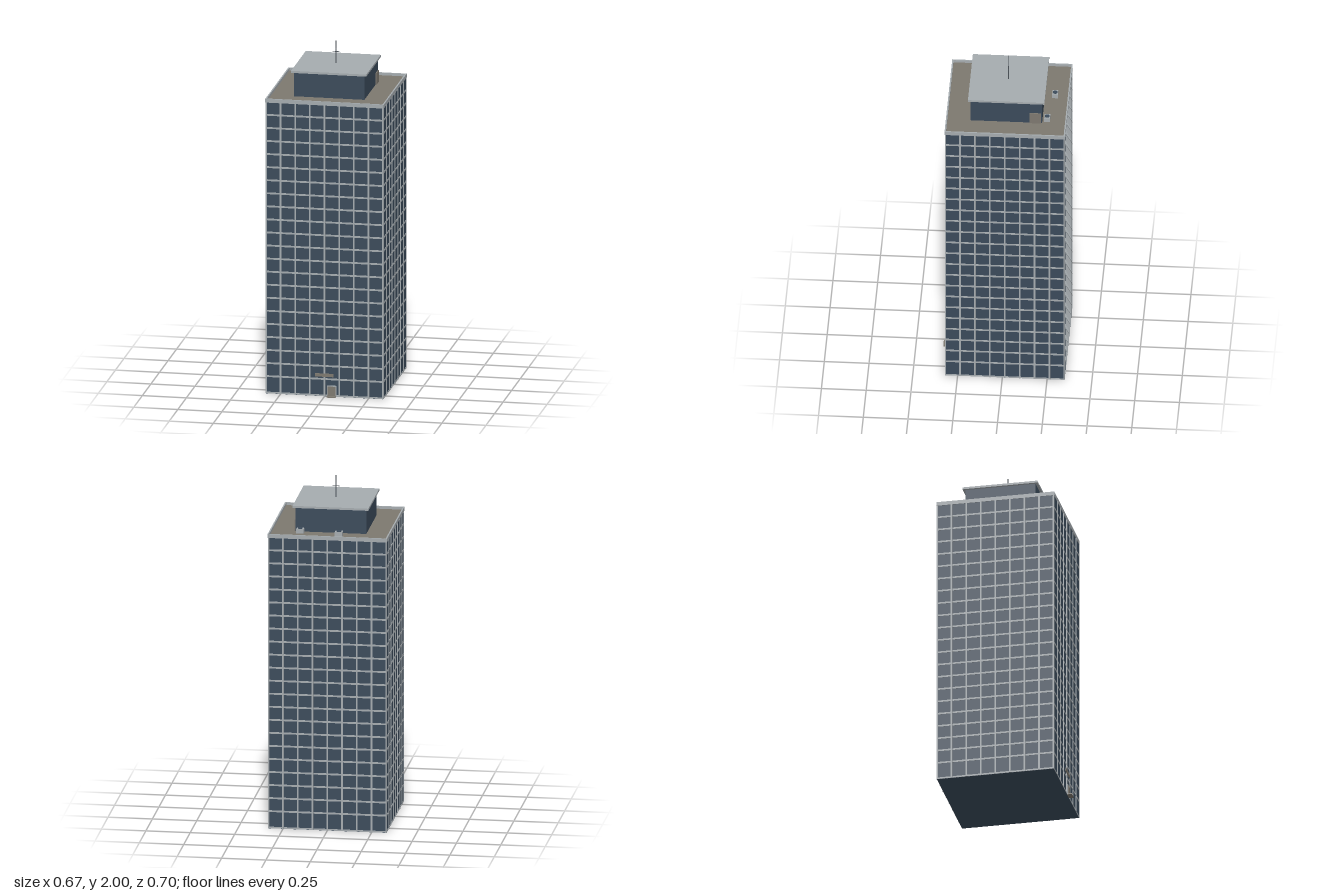
import * as THREE from 'three';

const mat = (name, color) => {
  const m = new THREE.MeshStandardMaterial({ color });
  m.name = name;
  return m;
};

export function createModel() {
  const model = new THREE.Group();
  model.name = 'officeTower';
  const glass = mat('blueGlass', 0x3a4a5a);
  const concrete = mat('paleConcrete', 0xa5abaf);
  const stone = mat('brownStone', 0x7d786f);
  const metal = mat('darkMetal', 0x4d545b);

  const add = (parent, name, geometry, material, x, y, z) => {
    const mesh = new THREE.Mesh(geometry, material);
    mesh.name = name;
    mesh.position.set(x, y, z);
    parent.add(mesh);
    return mesh;
  };
  // Box given by its centre in x and z and its bottom and top in y
  const box = (parent, name, material, w, y0, y1, d, x = 0, z = 0) =>
    add(parent, name, new THREE.BoxGeometry(w, y1 - y0, d), material, x, (y0 + y1) / 2, z);

  // The tower stands slightly behind the origin, leaving room for the doorstep
  const tower = new THREE.Group();
  tower.name = 'tower';
  tower.position.z = -0.0135;
  model.add(tower);
  const half = 0.333, bays = 8, bay = 2 * half / bays;
  box(tower, 'glassBody', glass, 2 * half, 0, 1.683, 2 * half);

  // Floor bands wrap all four sides
  box(tower, 'baseBand', concrete, 0.669, 0.001, 0.01, 0.669);
  for (let i = 0; i <= 20; i++) {
    const y = 0.1 + i * 0.0755;
    box(tower, 'floorBand', concrete, 0.670, y - 0.005, y + 0.005, 0.670);
  }

  // Mullions, repeated on each side, and corner posts
  for (let s = 0; s < 4; s++) {
    const side = new THREE.Group();
    side.name = 'facadeMullions';
    side.rotation.y = s * Math.PI / 2;
    tower.add(side);
    for (let i = 1; i < bays; i++) {
      box(side, 'mullion', concrete, 0.009, 0.001, 1.683, 0.005, -half + i * bay, half + 0.0015);
    }
    box(side, 'cornerPost', concrete, 0.008, 0.001, 1.683, 0.008, half - 0.002, half - 0.002);
  }

  // Roof deck and parapet
  box(tower, 'roofDeck', stone, 0.664, 1.68, 1.688, 0.664);
  for (let s = 0; s < 4; s++) {
    const side = new THREE.Group();
    side.name = 'parapetSide';
    side.rotation.y = s * Math.PI / 2;
    tower.add(side);
    box(side, 'parapet', concrete, 0.673, 1.681, 1.703, 0.008, 0, 0.3325);
  }

  // Penthouse with its overhanging roof and access door
  box(tower, 'penthouse', glass, 0.4, 1.688, 1.826, 0.4);
  box(tower, 'penthouseRoof', concrete, 0.427, 1.826, 1.838, 0.427);
  box(tower, 'penthouseDoor', stone, 0.009, 1.688, 1.755, 0.066, 0.2015, -0.162);

  // Rooftop fan units
  for (const [x, z] of [[-0.054, -0.257], [0.168, -0.227]]) {
    const unit = new THREE.Group();
    unit.name = 'fanUnit';
    unit.position.set(x, 0, z);
    tower.add(unit);
    box(unit, 'fanHousing', concrete, 0.042, 1.688, 1.713, 0.032);
    add(unit, 'fan', new THREE.CylinderGeometry(0.0135, 0.0135, 0.004, 20), glass, 0, 1.714, 0);
  }

  // Antenna
  add(tower, 'antennaBase', new THREE.CylinderGeometry(0.003, 0.003, 0.085, 8), metal, 0, 1.88, 0);
  add(tower, 'antennaMast', new THREE.CylinderGeometry(0.001, 0.002, 0.08, 8), metal, 0, 1.96, 0);
  box(tower, 'antennaCrossbar', metal, 0.041, 1.902, 1.905, 0.003);

  // Entrance: framed door, step and a plain sign panel
  box(model, 'doorFrame', concrete, 0.054, 0.001, 0.064, 0.006, 0.041, 0.322);
  box(model, 'door', stone, 0.044, 0.001, 0.059, 0.006, 0.041, 0.324);
  box(model, 'doorstep', stone, 0.052, 0, 0.006, 0.028, 0.041, 0.333);
  box(model, 'signPanel', stone, 0.105, 0.115, 0.133, 0.005, 0, 0.3275);
  for (const x of [-0.04, 0.04]) {
    box(model, 'signBracket', metal, 0.004, 0.12, 0.128, 0.008, x, 0.322);
  }
  return model;
}
